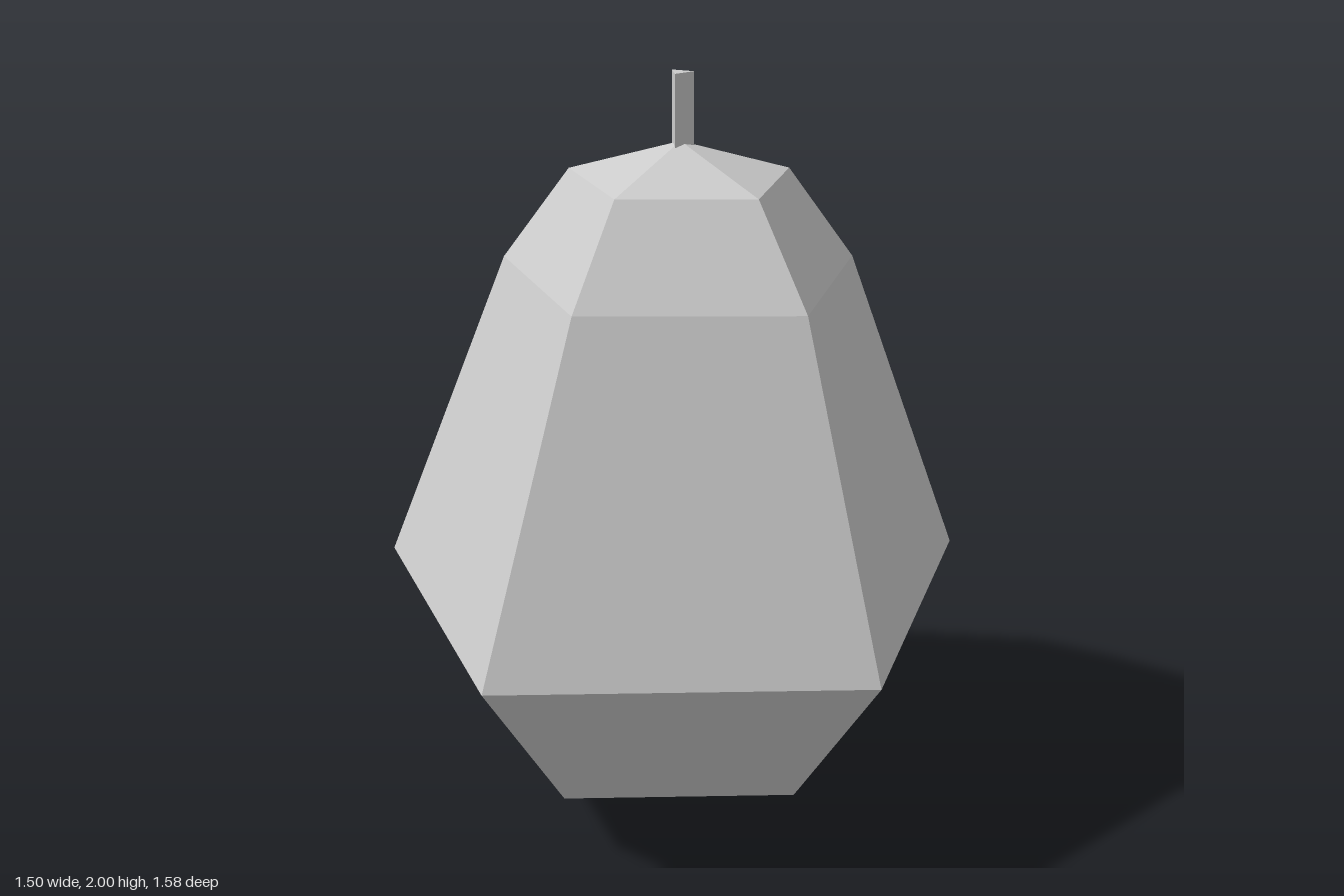
import * as THREE from 'three';

export function createModel() {
  const group = new THREE.Group();
  const material = new THREE.MeshStandardMaterial({ color: 0xcccccc, flatShading: true });

  // Five-sided fruit rings: height, radius along x, radius along z, centre x
  const rings = [
    [0, 0, 0, -0.08],
    [0.17, 0.511, 0.511, -0.081],
    [0.605, 0.829, 0.829, -0.079],
    [1.485, 0.5, 0.474, -0.05],
    [1.735, 0.31, 0.292, -0.05],
    [1.825, 0, 0, -0.052],
  ];
  const profile = rings.map(([y, r]) => new THREE.Vector2(r, y));
  const fruitGeometry = new THREE.LatheGeometry(profile, 5, Math.PI / 2);

  // Shift and squash each ring so the fruit leans slightly
  const pos = fruitGeometry.attributes.position;
  for (let i = 0; i < pos.count; i++) {
    const [, rx, rz, cx] = rings[i % rings.length];
    pos.setX(i, pos.getX(i) + cx);
    if (rx > 0) pos.setZ(i, pos.getZ(i) * rz / rx);
  }
  const fruit = new THREE.Mesh(fruitGeometry, material);
  fruit.name = 'fruitBody';
  group.add(fruit);

  // Three-sided stem with one edge towards -x
  const stem = new THREE.Mesh(new THREE.CylinderGeometry(0.035, 0.035, 0.2, 3), material);
  stem.name = 'stem';
  stem.rotation.y = -Math.PI / 2;
  stem.position.set(-0.052, 1.9, 0);
  group.add(stem);

  return group;
}
